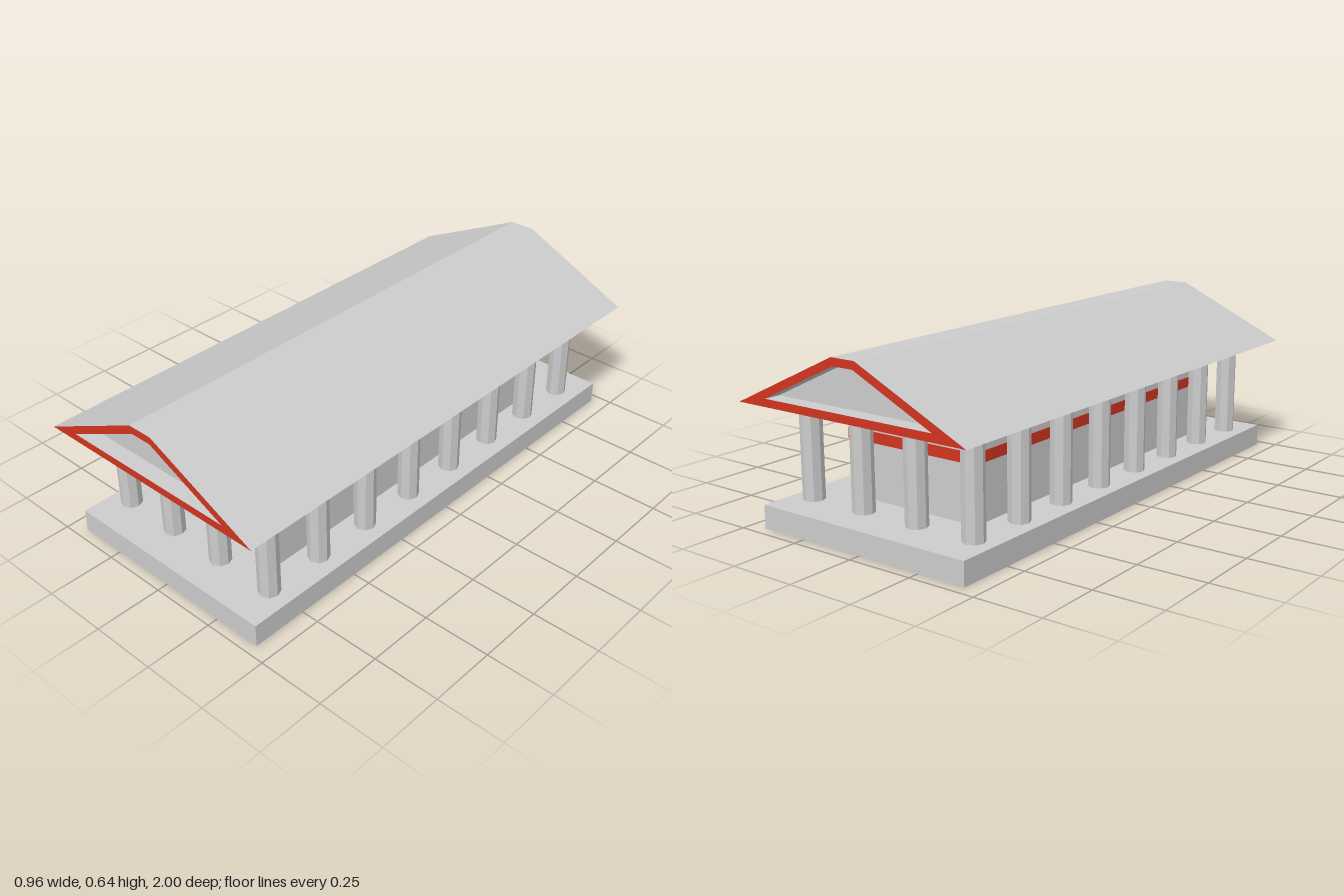
import * as THREE from 'three';

const grey = new THREE.MeshStandardMaterial({ color: 0xcccccc, flatShading: true });
const red = new THREE.MeshStandardMaterial({ color: 0xd03420, flatShading: true });

const points = (list) => list.map(([x, y]) => new THREE.Vector2(x, y));

export function createModel() {
  const model = new THREE.Group();
  model.name = 'temple';

  const add = (name, geometry, material, x, y, z) => {
    const mesh = new THREE.Mesh(geometry, material);
    mesh.name = name;
    mesh.position.set(x, y, z);
    model.add(mesh);
    return mesh;
  };
  const box = (name, w, y0, y1, d, material, x = 0) =>
    add(name, new THREE.BoxGeometry(w, y1 - y0, d), material, x, (y0 + y1) / 2, 0);

  // Platform, inner hall and its painted band
  box('platform', 0.868, 0, 0.084, 1.92, grey);
  box('hall', 0.552, 0.084, 0.442, 1.408, grey, 0.003);
  box('hallBand', 0.556, 0.286, 0.325, 1.412, red, 0.003);

  // Octagonal columns around the edge: 4 across, 8 along
  const columnGeometry = new THREE.CylinderGeometry(0.039, 0.039, 0.355, 8);
  for (let i = 0; i < 4; i++) {
    for (let j = 0; j < 8; j++) {
      const onEdge = i === 0 || i === 3 || j === 0 || j === 7;
      if (!onEdge) continue;
      add('column', columnGeometry, grey, -0.353 + i * 0.2333, 0.2605, (j - 3.5) * 0.2325);
    }
  }

  // Roof body with a flat ridge
  const recess = 0.06;
  const outline = points([[-0.483, 0.442], [0.481, 0.442], [0.048, 0.645], [-0.05, 0.645]]);
  const opening = points([[-0.355, 0.47], [-0.042, 0.617], [0.042, 0.617], [0.355, 0.47]]);
  const roofLength = 2 - 2 * recess;
  const roof = new THREE.ExtrudeGeometry(new THREE.Shape(outline), { depth: roofLength, bevelEnabled: false });
  add('roof', roof, grey, 0, 0, -roofLength / 2);

  // Painted gable frames around the recessed pediments
  const frameShape = new THREE.Shape(outline);
  frameShape.holes.push(new THREE.Path(opening));
  const frame = new THREE.ExtrudeGeometry(frameShape, { depth: recess, bevelEnabled: false });
  add('frontGableFrame', frame, [red, grey], 0, 0, 1 - recess);
  add('backGableFrame', frame, [red, grey], 0, 0, -1);

  return model;
}
